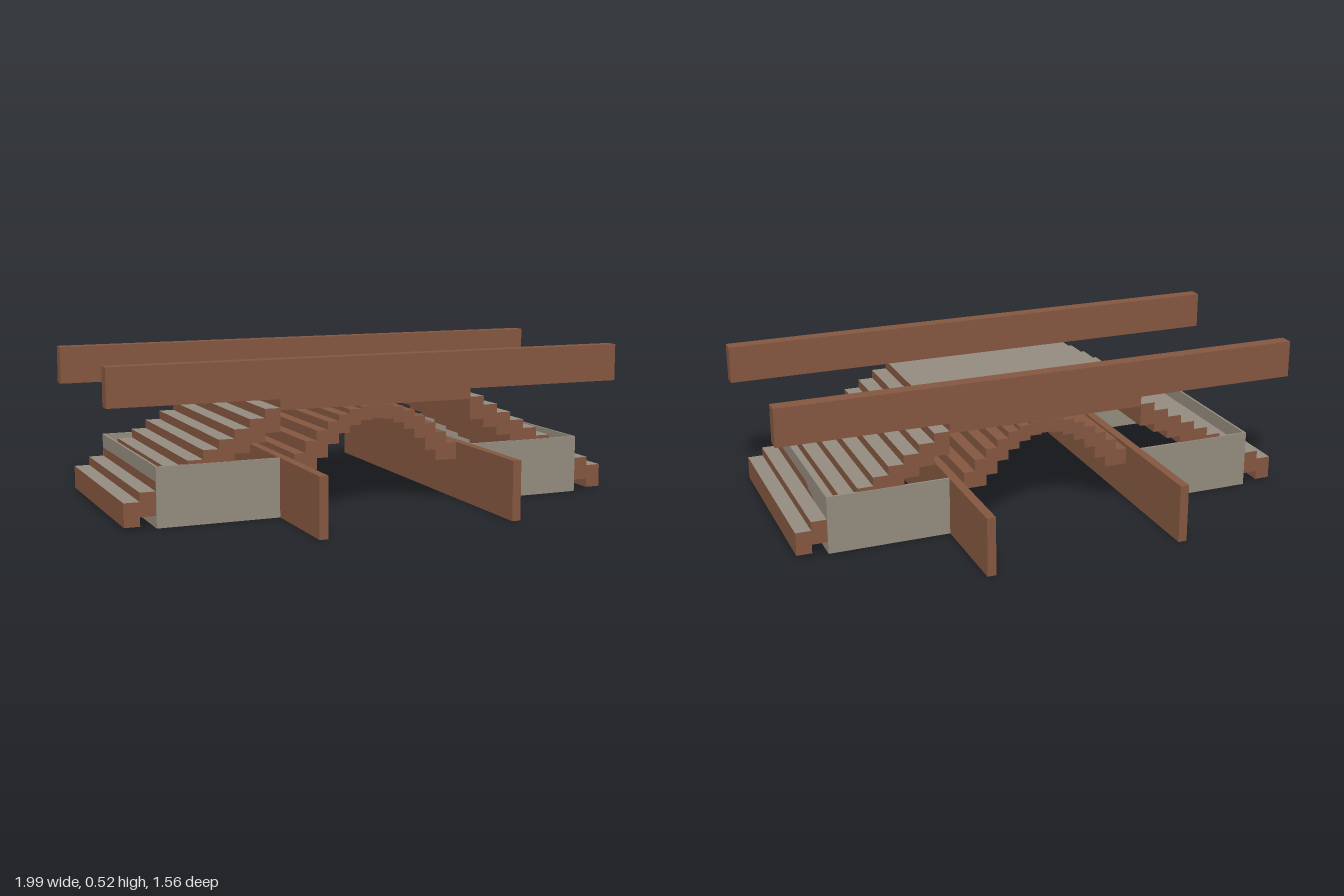
import * as THREE from 'three';

export function createModel() {
  const mat = (name, color) => {
    const m = new THREE.MeshStandardMaterial({ color });
    m.name = name;
    return m;
  };
  const brick = mat('brown brick', 0x845740);
  const stone = mat('grey stone', 0x938b7e);
  const slate = mat('dark slate', 0x596468);
  const paved = [brick, brick, stone, brick, brick, brick];
  const deckFaces = [brick, brick, stone, slate, brick, brick];

  const model = new THREE.Group();
  model.name = 'bridge';
  // the bridge crosses its plot at an angle
  model.rotation.y = THREE.MathUtils.degToRad(20);

  // box given by its extents along, up and across the bridge
  const slab = (name, x0, x1, y0, y1, z0, z1, material) => {
    const mesh = new THREE.Mesh(new THREE.BoxGeometry(x1 - x0, y1 - y0, z1 - z0), material);
    mesh.name = name;
    mesh.position.set((x0 + x1) / 2, (y0 + y1) / 2, (z0 + z1) / 2);
    return mesh;
  };

  const halfWidth = 0.35, deckEnd = 0.35, deckTop = 0.395;

  // flat deck
  model.add(slab('deck', -deckEnd, deckEnd, 0.357, deckTop, -halfWidth, halfWidth, deckFaces));

  // parapets
  for (const s of [-1, 1]) {
    const rail = slab('parapet', -0.93, 0.93, 0.395, 0.525, -0.024, 0.024, brick);
    rail.position.z = s * 0.334;
    model.add(rail);
  }

  // stepped arch under the deck
  const arch = new THREE.Group();
  arch.name = 'arch';
  const pitch = 0.04;
  for (let i = -7; i <= 7; i++) {
    const u = i * pitch;
    const top = 0.357 - 0.16 * (u / 0.29) ** 2;
    const bottom = Math.max(0.15, 0.31 - 0.11 * (u / 0.19) ** 2);
    arch.add(slab('archCourse', u - pitch / 2, u + pitch / 2, bottom, top, -0.345, 0.345, brick));
  }
  model.add(arch);

  // each half: stairs, hollow abutment and river wall, the second turned about
  const steps = 10, tread = 0.053, rise = (deckTop - 0.09) / steps;
  for (const turn of [0, Math.PI]) {
    const half = new THREE.Group();
    half.name = 'approach';
    half.rotation.y = turn;

    for (let i = 0; i < steps; i++) {
      const top = deckTop - rise * (i + 1);
      const x = deckEnd + i * tread;
      half.add(slab('step', x, x + tread, top - 0.08, top, -halfWidth, halfWidth, paved));
    }

    half.add(slab('abutmentEnd', 0.766, 0.774, 0, 0.2, -0.354, 0.354, stone));
    half.add(slab('abutmentSide', 0.354, 0.774, 0, 0.2, 0.346, 0.354, stone));
    half.add(slab('abutmentSide', 0.354, 0.774, 0, 0.2, -0.354, -0.346, stone));

    half.add(slab('riverWall', 0.324, 0.354, 0, 0.2, -0.7, 0.7, brick));
    model.add(half);
  }

  const root = new THREE.Group();
  root.name = 'archBridge';
  root.add(model);
  return root;
}
